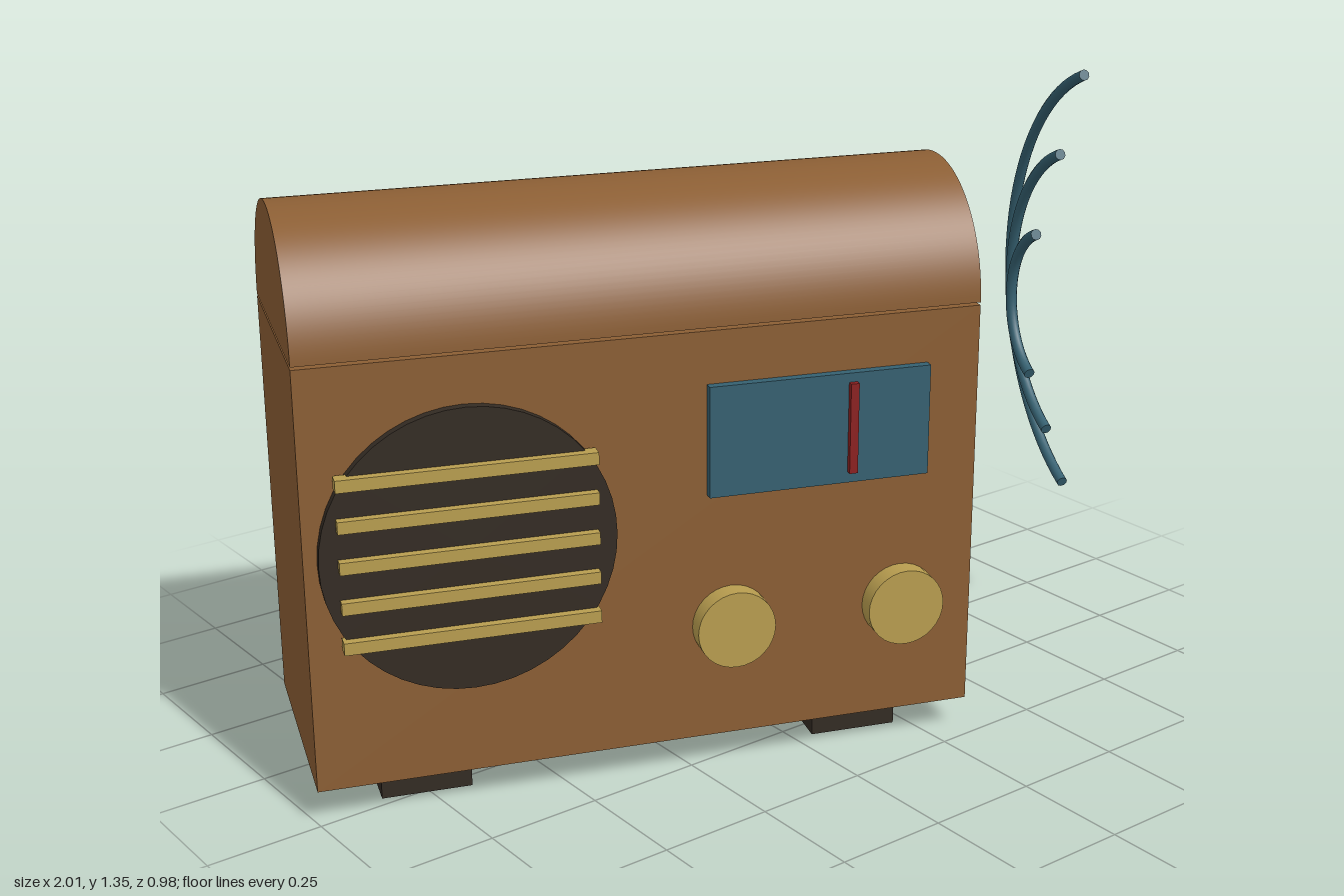
import * as THREE from 'three';
import { toCreasedNormals } from 'three/addons/utils/BufferGeometryUtils.js';

const material = (color) => new THREE.MeshStandardMaterial({ color });

export function createModel() {
  const wood = material(0x8b5e34);
  const dark = material(0x332b23);
  const brass = material(0xb89d4f);
  const teal = material(0x356070);
  const red = material(0x8b2020);

  const model = new THREE.Group();
  model.name = 'radio';

  // The whole radio is turned on its stand point
  const radio = new THREE.Group();
  radio.name = 'turnedRadio';
  radio.position.set(-0.2475, 0, -0.007);
  radio.rotation.y = THREE.MathUtils.degToRad(-20);
  model.add(radio);

  const add = (name, geometry, mat, x, y, z, parent = radio) => {
    const mesh = new THREE.Mesh(geometry, mat);
    mesh.name = name;
    mesh.position.set(x, y, z);
    parent.add(mesh);
    return mesh;
  };
  const box = (w, h, d) => new THREE.BoxGeometry(w, h, d);
  // Round disc facing the front
  const disc = (r, depth, sides) => new THREE.CylinderGeometry(r, r, depth, sides).rotateX(Math.PI / 2);

  const length = 1.413, depth = 0.516, front = depth / 2;

  // Cabinet and rounded lid, with a hairline gap between them
  add('cabinet', box(length, 0.896, depth), wood, 0, 0.523, 0);
  const arch = new THREE.Shape();
  arch.absarc(0, 0, front, 0, Math.PI, false);
  arch.closePath();
  const lid = new THREE.ExtrudeGeometry(arch, { depth: length, bevelEnabled: false, curveSegments: 32 });
  lid.translate(0, 0, -length / 2).rotateY(Math.PI / 2);
  add('lid', toCreasedNormals(lid, 0.5), wood, 0, 0.977, 0);

  // Feet
  for (const side of [-1, 1]) {
    add(side < 0 ? 'rightFoot' : 'leftFoot', box(0.19, 0.075, 0.375), dark, side * 0.4725, 0.0375, 0);
  }

  // Speaker and its grille bars
  add('speaker', disc(0.3, 0.04, 48), dark, -0.379, 0.57, front);
  for (let i = -2; i <= 2; i++) {
    add('grilleBar', box(0.522, 0.026, 0.03), brass, -0.38, 0.57 + i * 0.0855, 0.282);
  }

  // Tuning window and needle
  add('tuningWindow', box(0.476, 0.238, 0.04), teal, 0.354, 0.74, front);
  add('needle', box(0.018, 0.195, 0.02), red, 0.422, 0.742, 0.281);

  // Knobs
  for (const side of [-1, 1]) {
    add('knob', disc(0.084, 0.043, 32), brass, 0.356 + side * 0.188, 0.33, front + 0.0215);
  }

  // Sound waves: arcs opening towards the front, growing outward
  const half = THREE.MathUtils.degToRad(70), tube = 0.0125;
  for (let i = 0; i < 3; i++) {
    const r = 0.1727 * (i + 1);
    const wave = new THREE.Group();
    wave.name = 'soundWave';
    wave.position.set(0.978 + i * 0.078, 0.855, 0);
    wave.rotation.y = Math.PI / 2;
    radio.add(wave);
    add('waveArc', new THREE.TorusGeometry(r, tube, 10, 40, half * 2).rotateZ(-half), teal, 0, 0, 0, wave);
    for (const end of [-1, 1]) {
      const cap = new THREE.CircleGeometry(tube, 10).rotateX(-end * Math.PI / 2).rotateZ(end * half);
      add('waveEnd', cap, teal, r * Math.cos(half), end * r * Math.sin(half), 0, wave);
    }
  }
  return model;
}
